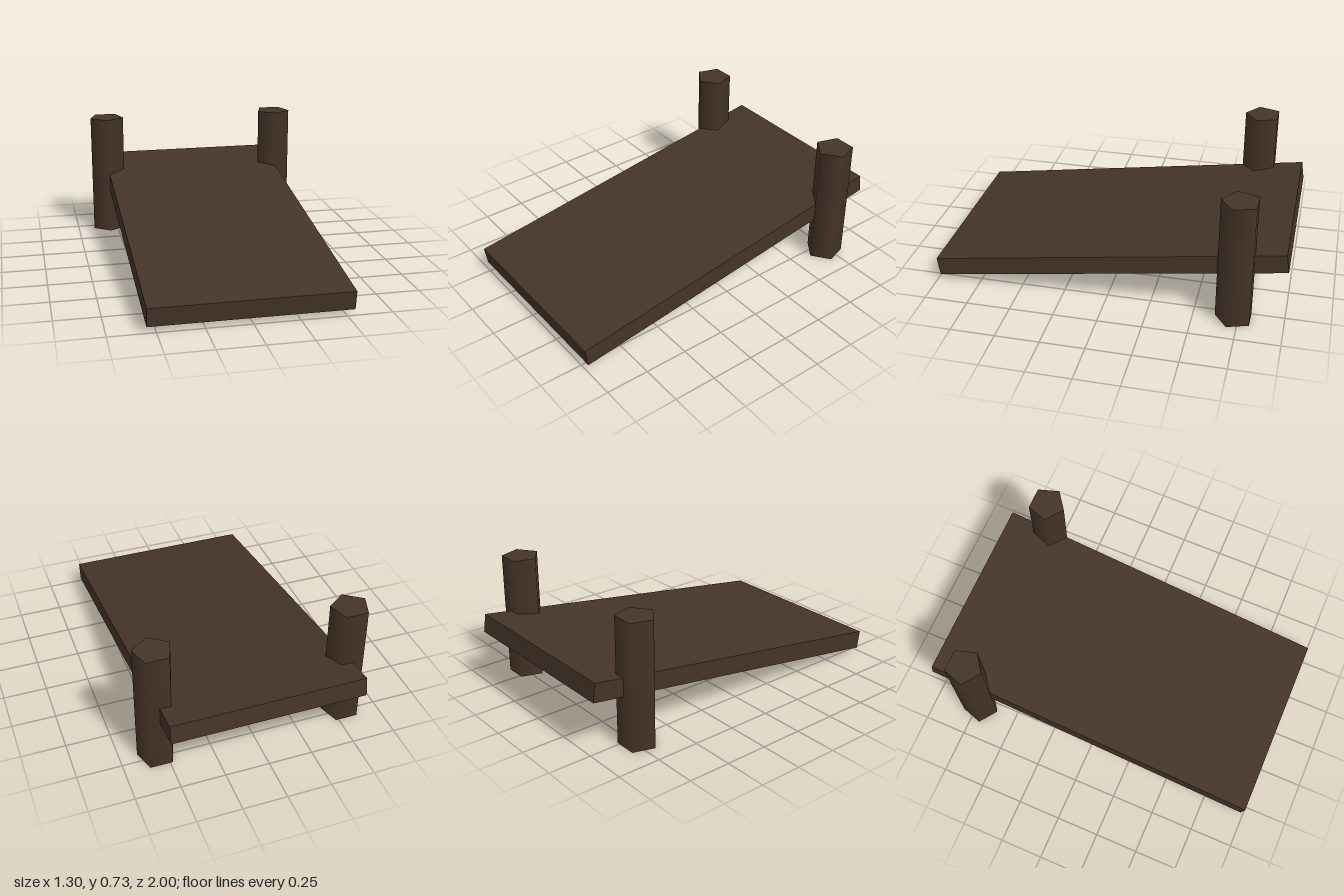
import * as THREE from 'three';

export function createModel() {
  const model = new THREE.Group();
  const wood = new THREE.MeshStandardMaterial({ color: 0x453428 });

  // Sloping plank, low at the front and raised at the back
  const ramp = new THREE.Mesh(new THREE.BoxGeometry(1.095, 0.107, 2.007), wood);
  ramp.name = 'rampBoard';
  ramp.position.y = 0.23;
  ramp.rotation.x = 0.15;
  model.add(ramp);

  // Five-sided posts on the two long edges, with a corner facing forward
  const height = 0.73;
  const postGeometry = new THREE.CylinderGeometry(0.108, 0.108, height, 5);
  for (const side of [-1, 1]) {
    const post = new THREE.Mesh(postGeometry, wood);
    post.name = side > 0 ? 'leftPost' : 'rightPost';
    post.position.set(side * 0.548, height / 2, -0.728);
    model.add(post);
  }
  return model;
}
